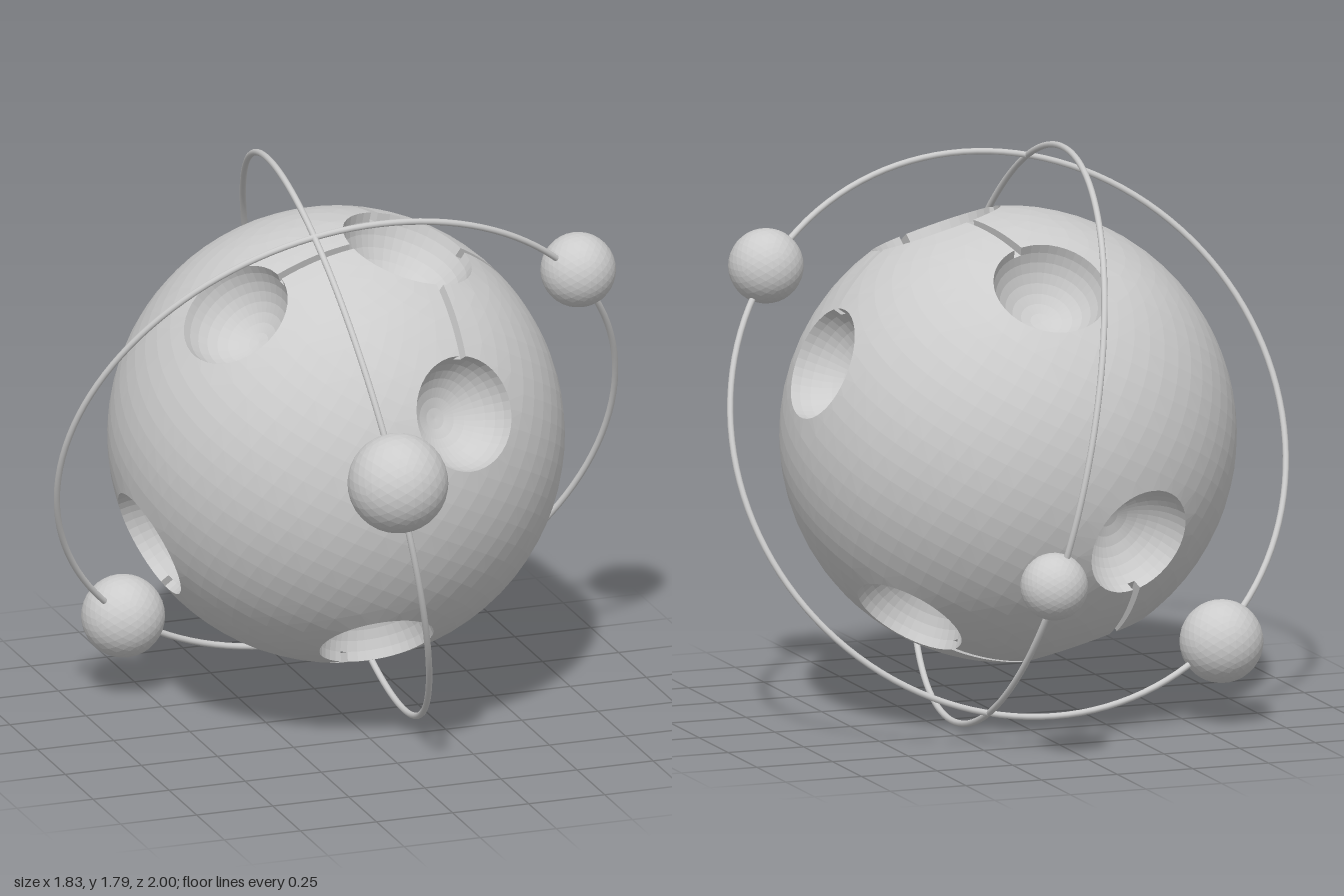
import * as THREE from 'three';
import { ConvexGeometry } from 'three/addons/geometries/ConvexGeometry.js';

const V = (x, y, z) => new THREE.Vector3(x, y, z);
const CENTRE = V(0, 0.902, -0.054);
const R = 0.707;          // globe radius
const HALF = 0.013;       // half width of a channel
const DEPTH = 0.03;       // channel depth
const grey = new THREE.MeshStandardMaterial({ color: 0xcccccc, flatShading: true });
const ringGrey = new THREE.MeshStandardMaterial({ color: 0xcccccc });

// A crater: axis, rim angle, a frame around the axis, and the rim angles used
function makeCrater(axis, rim) {
  const n = axis.clone().normalize();
  const u = V(0.31, 0.2, 0.93).cross(n).normalize();
  return { n, u, v: n.clone().cross(u), alpha: Math.asin(rim / R), rim, gaps: [] };
}

// A channel along the great circle between two crater rims
function makeChannel(a, b) {
  const m = a.n.clone().cross(b.n).normalize();
  const q = m.clone().cross(a.n);
  const r = Math.sqrt(R * R - HALF * HALF);
  const theta = a.n.angleTo(b.n);
  const t0 = Math.acos(R * Math.cos(a.alpha) / r);
  const t1 = theta - Math.acos(R * Math.cos(b.alpha) / r);
  const steps = 9;
  const at = (t, side) => a.n.clone().multiplyScalar(r * Math.cos(t))
    .addScaledVector(q, r * Math.sin(t)).addScaledVector(m, side * HALF);
  const pairs = [];
  for (let i = 0; i <= steps; i++) {
    const t = t0 + (t1 - t0) * i / steps;
    pairs.push([at(t, -1), at(t, 1)]);
  }
  for (const [c, dir] of [[a, q], [b, a.n]]) {
    c.gaps.push({ phi: Math.atan2(dir.dot(c.v), dir.dot(c.u)), half: Math.asin(HALF / c.rim) });
  }
  const mid = at((t0 + t1) / 2, 0).normalize();
  return { m, mid, pairs, reach: (t1 - t0) / 2 };
}

// Rim angles: even steps, plus exact edges where channels open
function rimAngles(c) {
  const wrap = x => THREE.MathUtils.euclideanModulo(x, 2 * Math.PI);
  const list = [];
  for (let i = 0; i < 40; i++) {
    const phi = i / 40 * 2 * Math.PI;
    const near = c.gaps.some(g => Math.abs(wrap(phi - g.phi + Math.PI) - Math.PI) < g.half + 0.07);
    if (!near) list.push({ phi, open: false });
  }
  for (const g of c.gaps) {
    list.push({ phi: wrap(g.phi - g.half), open: true }, { phi: wrap(g.phi + g.half), open: false });
  }
  return list.sort((p, q) => p.phi - q.phi);
}

function buildGlobe() {
  // Craters in opposite pairs: a large pole and four round it
  const axes = [[0.18, 0.632, 0.149, 0.211], [0.2, 0.24, 0.61, 0.18], [-0.407, 0.507, 0.213, 0.18],
    [0.62, 0.27, -0.036, 0.18], [0.02, 0.535, -0.42, 0.18]];
  const craters = [], channels = [];
  for (const s of [1, -1]) {
    const set = axes.map(([x, y, z, r]) => makeCrater(V(x, y, z).multiplyScalar(s), r));
    craters.push(...set);
    for (const c of set.slice(1)) channels.push(makeChannel(set[0], c));
  }

  // Points of the shell: rims, channel edges and an even scatter between
  const points = [];
  for (const c of craters) {
    c.angles = rimAngles(c);
    c.ring = (radius, height) => c.angles.map(({ phi }) => c.n.clone().multiplyScalar(height)
      .addScaledVector(c.u, radius * Math.cos(phi)).addScaledVector(c.v, radius * Math.sin(phi)));
    points.push(...c.ring(c.rim, R * Math.cos(c.alpha)));
  }
  for (const ch of channels) points.push(...ch.pairs.slice(1, -1).flat());
  const N = 1700;
  for (let i = 0; i < N; i++) {
    const y = 1 - (2 * i + 1) / N, s = Math.sqrt(1 - y * y), a = i * 2.399963;
    const d = V(s * Math.cos(a), y, s * Math.sin(a));
    const clear = craters.every(c => d.angleTo(c.n) > c.alpha + 0.035) &&
      channels.every(ch => Math.abs(d.dot(ch.m)) > HALF / R + 0.03 || d.angleTo(ch.mid) > ch.reach + 0.05);
    if (clear) points.push(d.multiplyScalar(R));
  }

  const out = [];
  // Adds a fan of triangles turned towards a point
  const face = (toward, ...p) => {
    for (let i = 1; i < p.length - 1; i++) {
      let [a, b, c] = [p[0], p[i], p[i + 1]];
      const n = b.clone().sub(a).cross(c.clone().sub(a));
      if (n.lengthSq() < 1e-14) continue;
      if (n.dot(toward.clone().sub(a)) < 0) [b, c] = [c, b];
      for (const k of [a, b, c]) out.push(k.x, k.y, k.z);
    }
  };

  // Shell: the hull without the lids over craters and channels
  const hull = new ConvexGeometry(points).getAttribute('position');
  for (let i = 0; i < hull.count; i += 3) {
    const t = [0, 1, 2].map(k => V().fromBufferAttribute(hull, i + k));
    const lid = craters.some(c => t.every(p => p.dot(c.n) > R * Math.cos(c.alpha) - 1e-4)) ||
      channels.some(ch => t.every(p => Math.abs(p.dot(ch.m)) < HALF + 1e-4 &&
        p.angleTo(ch.mid) < ch.reach + 0.01));
    if (!lid) for (const p of t) out.push(p.x, p.y, p.z);
  }

  // Crater bowls, left open where channels enter
  for (const c of craters) {
    const a = 2 * R * Math.sin(c.alpha / 2), drop = R * (1 - Math.cos(c.alpha));
    const b1 = Math.asin((drop + DEPTH) / a), rows = 7;
    const betas = [Math.asin(drop / a)];
    for (let j = 0; j <= rows; j++) betas.push(b1 + (Math.PI / 2 - b1) * j / rows);
    const rings = betas.map(b => c.ring(a * Math.cos(b), R - a * Math.sin(b)));
    const focus = c.n.clone().multiplyScalar(R);
    for (let j = 0; j < rings.length - 1; j++) {
      c.angles.forEach((ang, i) => {
        if (j === 0 && ang.open) return;
        const k = (i + 1) % c.angles.length;
        face(focus, rings[j][i], rings[j][k], rings[j + 1][k], rings[j + 1][i]);
      });
    }
  }

  // Channel walls and floors
  const sink = p => p.clone().multiplyScalar(1 - DEPTH / R);
  for (const { pairs } of channels) {
    for (let i = 0; i < pairs.length - 1; i++) {
      const [a, b] = pairs[i], [d, c] = pairs[i + 1];
      const toward = a.clone().add(c).multiplyScalar(0.5);
      face(toward, a, d, sink(d), sink(a));
      face(toward, b, c, sink(c), sink(b));
      face(toward, sink(a), sink(b), sink(c), sink(d));
    }
  }
  const geo = new THREE.BufferGeometry();
  geo.setAttribute('position', new THREE.Float32BufferAttribute(out, 3));
  geo.computeVertexNormals();
  return geo;
}

export function createModel() {
  const group = new THREE.Group();
  const add = (name, geo, mat, pos) => {
    const mesh = new THREE.Mesh(geo, mat);
    mesh.name = name;
    mesh.position.copy(pos);
    group.add(mesh);
    return mesh;
  };

  add('crateredGlobe', buildGlobe(), grey, CENTRE);

  // Two tilted orbit rings
  const rings = { wideOrbitRing: V(0, -0.437, 0.899), uprightOrbitRing: V(0.972, 0.21, 0.1) };
  for (const [name, normal] of Object.entries(rings)) {
    add(name, new THREE.TorusGeometry(0.906, 0.01, 10, 128), ringGrey, CENTRE)
      .quaternion.setFromUnitVectors(V(0, 0, 1), normal.normalize());
  }

  // Two moons on each ring
  const moons = [['upperLeftMoon', 0.706, 1.436, 0.193, 0.117], ['lowerRightMoon', -0.58, 0.27, -0.383, 0.13],
    ['frontMoon', -0.123, 1.048, 0.844, 0.156], ['backMoon', 0.168, 0.59, -0.895, 0.105]];
  for (const [name, x, y, z, r] of moons) {
    add(name, new THREE.IcosahedronGeometry(r, 5), grey, V(x, y, z));
  }
  return group;
}
